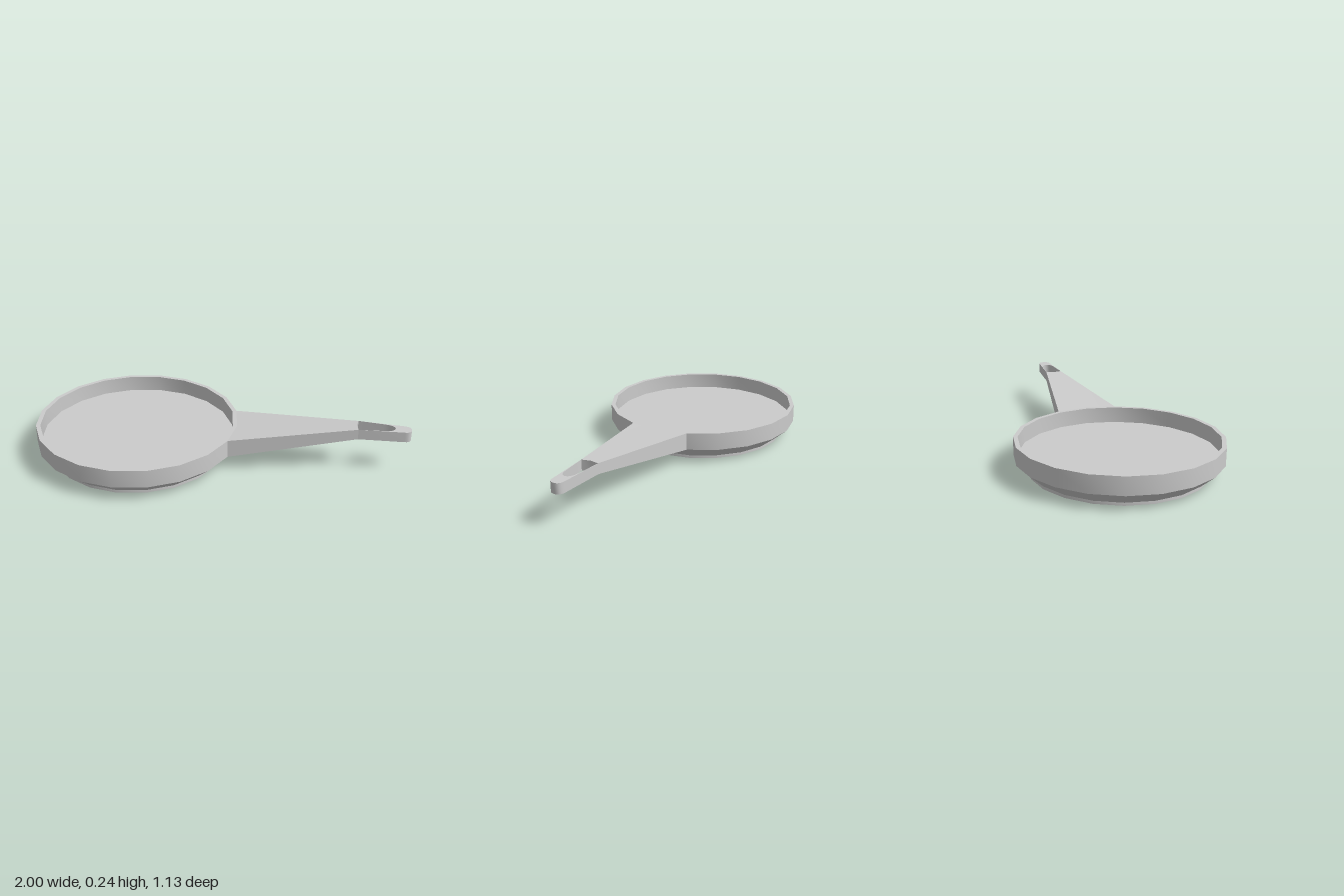
import * as THREE from 'three';
import { toCreasedNormals } from 'three/addons/utils/BufferGeometryUtils.js';

const material = new THREE.MeshStandardMaterial({ color: 0xcccccc, side: THREE.DoubleSide });

function part(name, geometry) {
  const mesh = new THREE.Mesh(toCreasedNormals(geometry, 0.5), material);
  mesh.name = name;
  return mesh;
}

// Pan body: narrow foot, flared side, upright wall and flat floor
function panBody() {
  const profile = [
    [0, 0], [0.487, 0], [0.487, 0.016], [0.565, 0.083],
    [0.565, 0.182], [0.541, 0.182], [0.541, 0.092], [0, 0.092],
  ].map(([r, y]) => new THREE.Vector2(r, y));
  const mesh = part('pan', new THREE.LatheGeometry(profile, 20));
  mesh.position.x = -0.435;
  return mesh;
}

// Tapered handle: outline corners as [x, z, bottom, top], following the pan wall
function handleArm() {
  const low = [0.083, 0.182], high = [0.185, 0.243];
  const corners = [
    [0.13, 0, ...low], [0.102, 0.175, ...low], [0.022, 0.332, ...low],
    [0.715, 0.425, ...high], [0.721, 0.374, ...high], [0.745, 0.33, ...high],
  ];
  const n = corners.length, positions = [], index = [];
  corners.forEach(([x, z, b, t]) => positions.push(x, b, z, x, t, z));
  for (let i = 2; i < n; i++) {
    // side walls
    const j = (i + 1) % n;
    index.push(2 * i + 1, 2 * i, 2 * j, 2 * i + 1, 2 * j, 2 * j + 1);
  }
  for (let k = 2; k <= n; k++) {
    // top and underside, fanned from the inner corner
    const j = (k + 1) % n;
    if (k === n) break;
    index.push(3, 2 * k + 1, 2 * j + 1, 2, 2 * j, 2 * k);
  }
  const geometry = new THREE.BufferGeometry();
  geometry.setAttribute('position', new THREE.Float32BufferAttribute(positions, 3));
  geometry.setIndex(index);
  return part('handle', geometry);
}

// Hanging loop: U-shaped end with a rounded tip around an open slot
function hangingLoop() {
  const s = new THREE.Shape();
  s.moveTo(0.745, -0.33);
  s.lineTo(0.965, -0.423);
  s.bezierCurveTo(0.99, -0.434, 1.003, -0.445, 0.997, -0.467);
  s.bezierCurveTo(0.99, -0.49, 0.976, -0.502, 0.95, -0.493);
  s.lineTo(0.715, -0.425);
  s.lineTo(0.86, -0.461);
  s.bezierCurveTo(0.895, -0.468, 0.912, -0.456, 0.916, -0.44);
  s.bezierCurveTo(0.92, -0.42, 0.905, -0.405, 0.87, -0.388);
  s.closePath();
  const geometry = new THREE.ExtrudeGeometry(s, { depth: 0.058, bevelEnabled: false, curveSegments: 5 });
  geometry.rotateX(-Math.PI / 2);
  geometry.translate(0, 0.185, 0);
  return part('hangingLoop', geometry);
}

export function createModel() {
  const group = new THREE.Group();
  group.name = 'fryingPan';
  group.add(panBody(), handleArm(), hangingLoop());
  return group;
}
